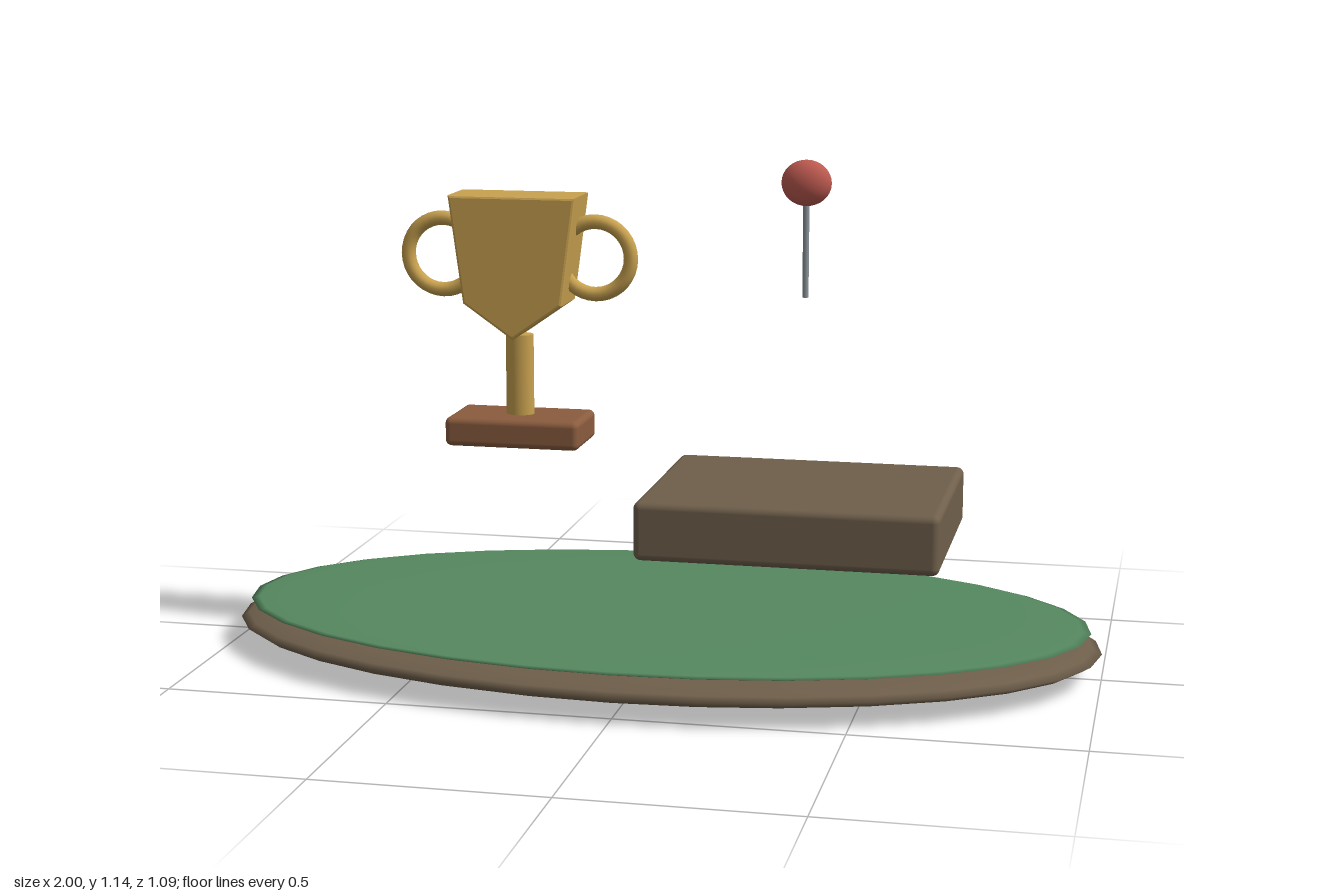
import * as THREE from 'three';
import { RoundedBoxGeometry } from 'three/addons/geometries/RoundedBoxGeometry.js';

const mat = (color) => new THREE.MeshStandardMaterial({ color });
const earth = mat(0x6f5f4b);
const grass = mat(0x55885f);
const wood = mat(0x8a5c3e);
const gold = mat(0xc9a250);
const steel = mat(0x8c969a);
const red = mat(0xbd5a50);

function add(parent, name, geometry, material, x, y, z = 0) {
  const mesh = new THREE.Mesh(geometry, material);
  mesh.name = name;
  mesh.position.set(x, y, z);
  parent.add(mesh);
  return mesh;
}

const ellipsoid = (rx, ry, rz, w = 32, h = 16) => new THREE.SphereGeometry(1, w, h).scale(rx, ry, rz);

// Tapered shield outline with a pointed bottom, extruded with a fine bevel
function cupGeometry() {
  const b = 0.006;
  const shape = new THREE.Shape();
  shape.moveTo(-0.141, 1.047);
  shape.lineTo(-0.109, 0.812);
  shape.lineTo(0, 0.736);
  shape.lineTo(0.109, 0.812);
  shape.lineTo(0.141, 1.047);
  shape.closePath();
  const depth = 0.134 - 2 * b;
  return new THREE.ExtrudeGeometry(shape, {
    depth, bevelEnabled: true, bevelSize: b, bevelThickness: b, bevelSegments: 2,
  }).translate(0, 0, -depth / 2);
}

export function createModel() {
  const model = new THREE.Group();
  model.name = 'trophyDisplay';

  // Oval ground: earth disc with a thin grass layer
  add(model, 'groundDisc', ellipsoid(1, 0.059, 0.545), earth, 0, 0.059);
  add(model, 'grassLayer', ellipsoid(0.975, 0.019, 0.525), grass, 0, 0.104);

  // Floating slab
  add(model, 'slab', new RoundedBoxGeometry(0.67, 0.132, 0.522, 4, 0.016), earth, 0.326, 0.349);

  // Trophy
  const trophy = new THREE.Group();
  trophy.name = 'trophy';
  trophy.position.x = -0.33;
  model.add(trophy);
  add(trophy, 'trophyBase', new RoundedBoxGeometry(0.312, 0.066, 0.174, 4, 0.014), wood, 0, 0.516);
  add(trophy, 'trophyStem', new THREE.CylinderGeometry(1, 1, 0.19, 24).scale(0.032, 1, 0.026), gold, 0, 0.638);
  add(trophy, 'trophyCup', cupGeometry(), gold, 0, 0);
  for (const side of [-1, 1]) {
    add(trophy, side > 0 ? 'leftHandle' : 'rightHandle',
      new THREE.TorusGeometry(0.082, 0.0165, 12, 36), gold, side * 0.178, 0.912);
  }

  // Pin with a round head
  const pin = new THREE.Group();
  pin.name = 'pin';
  pin.position.x = 0.326;
  model.add(pin);
  add(pin, 'pinShaft', new THREE.CylinderGeometry(0.007, 0.007, 0.22, 12), steel, 0, 0.948);
  add(pin, 'pinHead', ellipsoid(0.056, 0.051, 0.036, 24, 16), red, 0, 1.092);

  return model;
}
